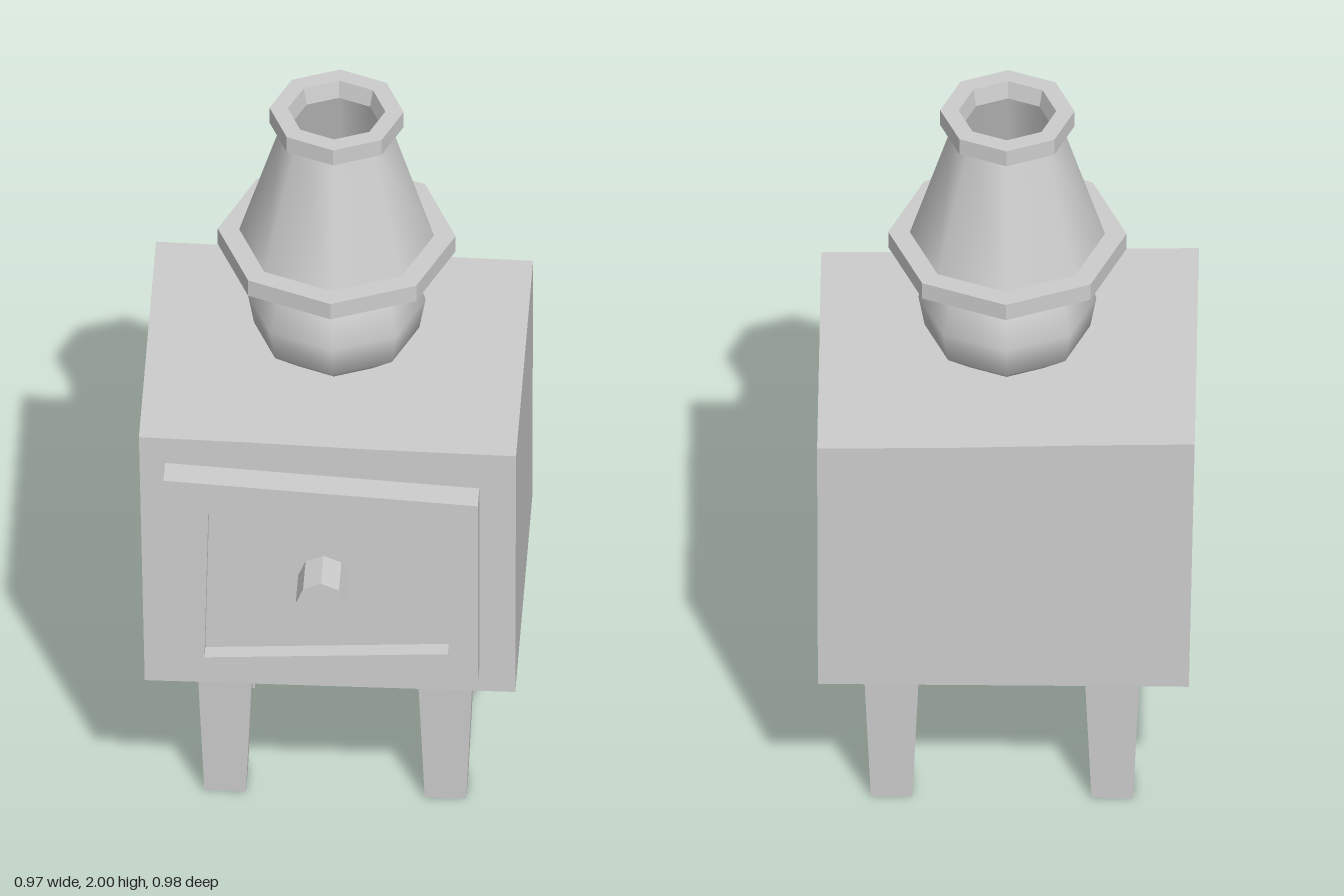
import * as THREE from 'three';

const grey = new THREE.MeshStandardMaterial({ color: 0xcccccc, side: THREE.DoubleSide });
grey.name = 'plain grey';

// Gives every face its own flat normal
function faceted(geometry) {
  const flat = geometry.index ? geometry.toNonIndexed() : geometry;
  flat.computeVertexNormals();
  return flat;
}

function polygon(points) {
  return points.map(([x, y]) => new THREE.Vector2(x, y));
}

// Extrudes a front outline from z0 to z1, with an optional hole
function slab(points, z0, z1, hole) {
  const shape = new THREE.Shape(polygon(points));
  if (hole) shape.holes.push(new THREE.Path(polygon(hole)));
  const geometry = new THREE.ExtrudeGeometry(shape, { depth: z1 - z0, bevelEnabled: false });
  return geometry.translate(0, 0, z0);
}

// Eight-sided turned part
function turned(points) {
  return new THREE.LatheGeometry(polygon(points), 8);
}

export function createModel() {
  const model = new THREE.Group();
  model.name = 'bedsideTableWithLamp';

  const add = (parent, name, geometry) => {
    const mesh = new THREE.Mesh(geometry, grey);
    mesh.name = name;
    parent.add(mesh);
    return mesh;
  };

  // Cabinet with a slightly crooked top
  add(model, 'cabinet', slab([
    [-0.47, 0.465], [0.48, 0.465], [0.482, 1.222], [0.1, 1.229], [-0.2, 1.239], [-0.485, 1.245],
  ], -0.49, 0.34));

  // Drawer: crooked frame around a recessed panel, with a knob
  const drawer = new THREE.Group();
  drawer.name = 'drawer';
  model.add(drawer);
  const outer = [[-0.385, 0.545], [0.388, 0.545], [0.388, 1.115], [-0.418, 1.165]];
  const inner = [[-0.313, 0.602], [0.312, 0.637], [0.318, 1.058], [-0.303, 1.065]];
  add(drawer, 'drawerFrame', slab(outer, 0.34, 0.416, inner));
  add(drawer, 'drawerPanel', slab(inner, 0.34, 0.372));
  const knob = new THREE.CylinderGeometry(0.065, 0.065, 0.125, 8).rotateX(Math.PI / 2);
  add(drawer, 'knob', faceted(knob)).position.set(-0.01, 0.842, 0.4285);

  // Tapered square legs, open at the foot
  const leg = new THREE.CylinderGeometry(Math.SQRT2, 0.73 * Math.SQRT2, 0.47, 4, 1, true);
  leg.rotateY(Math.PI / 4).scale(0.073, 1, 0.066);
  const legGeometry = faceted(leg);
  for (const [x, side] of [[-0.272, 'Right'], [0.293, 'Left']]) {
    for (const [z, end] of [[0.137, 'front'], [-0.303, 'back']]) {
      add(model, `${end}${side}Leg`, legGeometry).position.set(x, 0.235, z);
    }
  }

  // Lamp
  const lamp = new THREE.Group();
  lamp.name = 'lamp';
  lamp.position.z = -0.077;
  model.add(lamp);

  // Rounded hollow base
  add(lamp, 'lampBase', turned([
    [0, 1.238], [0.07, 1.239], [0.135, 1.246], [0.212, 1.31], [0.228, 1.4], [0.195, 1.52], [0.135, 1.565],
  ]));

  // Shade wall and its two rims
  add(lamp, 'shade', turned([[0.252, 1.6], [0.138, 1.96]]));
  add(lamp, 'lowerRim', faceted(turned([
    [0.225, 1.558], [0.305, 1.558], [0.305, 1.607], [0.225, 1.607], [0.225, 1.558],
  ])));
  add(lamp, 'upperRim', faceted(turned([
    [0.115, 1.952], [0.172, 1.952], [0.172, 2], [0.125, 2], [0.115, 1.952],
  ])));

  return model;
}
